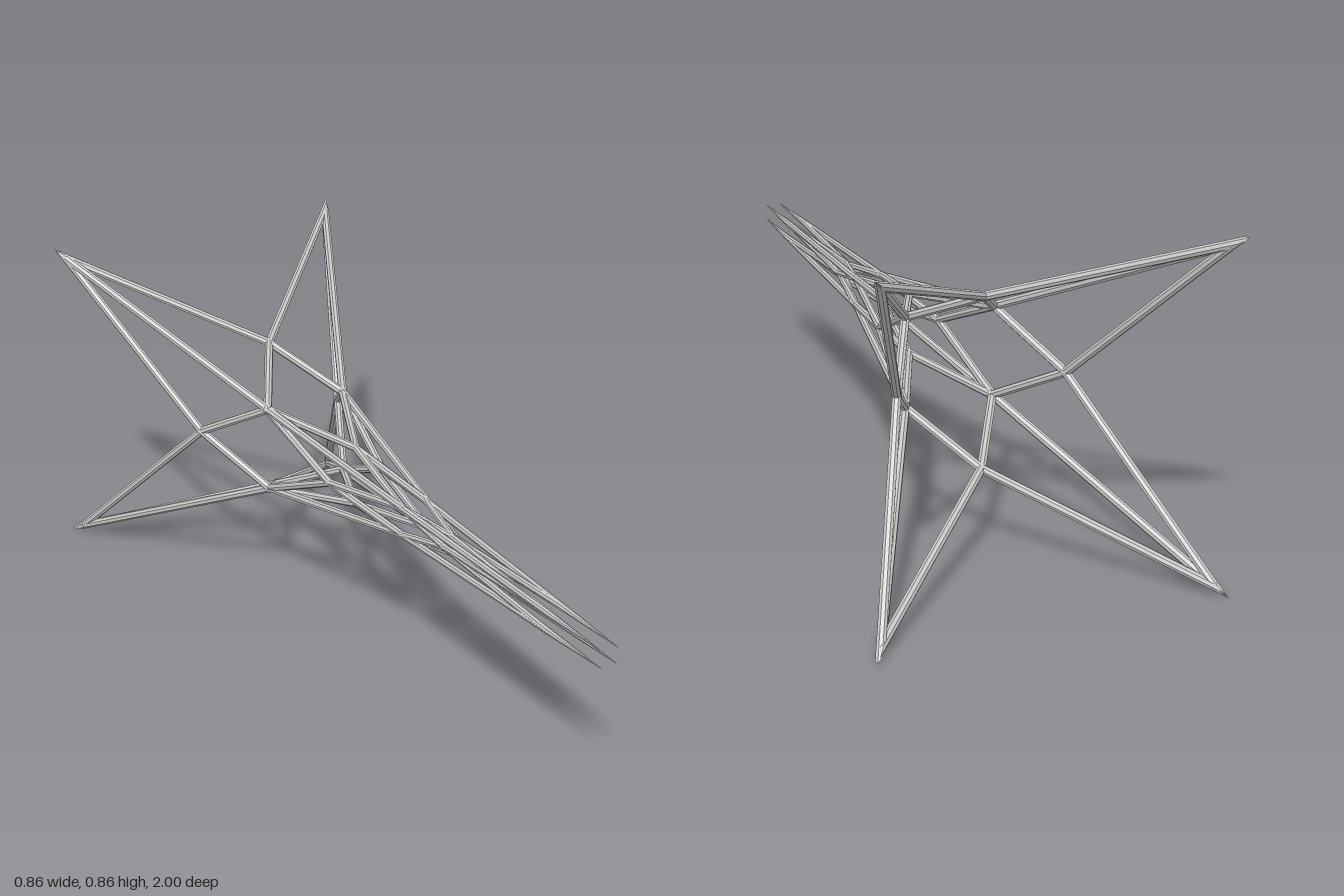
import * as THREE from 'three';

export function createModel() {
  const model = new THREE.Group();
  model.name = 'starLattice';
  const steel = new THREE.MeshStandardMaterial({ color: 0xc8c8c8, flatShading: true });
  steel.name = 'light grey';

  const CENTRE_Y = 0.43, SIDES = 8, R = 0.0115, THIN = 0.0085;
  const UP = new THREE.Vector3(0, 1, 0);

  // Point of a ring: quarter-turn index k, on the diagonals or on the axes
  const node = (radius, z, k, diagonal) => {
    const a = (k + (diagonal ? 0.5 : 0)) * Math.PI / 2;
    return new THREE.Vector3(Math.cos(a) * radius, CENTRE_Y + Math.sin(a) * radius, z);
  };

  // Straight rod; with an apex given, its start is mitred towards that apex
  function rod(name, a, b, ra = R, rb = R, apex = null) {
    const d = b.clone().sub(a);
    const length = d.length();
    d.normalize();
    const geo = new THREE.CylinderGeometry(rb, ra, length, SIDES, 1, true);
    geo.translate(0, length / 2, 0);
    geo.applyQuaternion(new THREE.Quaternion().setFromUnitVectors(UP, d));
    if (apex) {
      const m = a.clone().sub(apex).normalize();
      const n = d.clone().addScaledVector(m, -d.dot(m));
      const pos = geo.attributes.position, v = new THREE.Vector3();
      for (let i = 0; i < pos.count; i++) {
        v.fromBufferAttribute(pos, i);
        if (v.dot(d) > length / 2) continue;
        v.addScaledVector(d, -v.dot(n) / d.dot(n));
        pos.setXYZ(i, v.x, v.y, v.z);
      }
    }
    geo.translate(a.x, a.y, a.z);
    geo.computeVertexNormals();
    const mesh = new THREE.Mesh(geo, steel);
    mesh.name = name;
    model.add(mesh);
  }

  // Faceted knuckle where rods meet
  function joint(name, p, r) {
    const mesh = new THREE.Mesh(new THREE.IcosahedronGeometry(r, 1), steel);
    mesh.name = name;
    mesh.position.copy(p);
    model.add(mesh);
  }

  for (let k = 0; k < 4; k++) {
    // Nodes on this diagonal, from the rear star tip to the front needle tip
    const apex = node(0.608, -1, k, true);
    const tip = node(0.58, -0.97, k, true);
    const shoulder = node(0.163, -0.365, k, true);
    const waist = node(0.052, 0.19, k, true);
    const needle = node(0.032, 0.8, k, true);
    const needleApex = node(0.03, 1, k, true);

    // Rear arm spine and front needle, each with a pointed end
    rod('armSpine', shoulder, tip);
    rod('armPoint', tip, apex, R, 0.0005);
    rod('neckSpine', shoulder, waist, R, 0.0095);
    rod('needleSpine', waist, needle, 0.0095, THIN);
    rod('needlePoint', needle, needleApex, THIN, 0.0005);
    joint('shoulderJoint', shoulder, 0.0135);
    joint('waistJoint', waist, 0.0105);

    // Rods to the axis nodes on both sides of the diagonal
    for (const j of [k, k + 1]) {
      const rim = node(0.215, -0.565, j, false);
      const collar = node(0.08, -0.1, j, false);
      const throat = node(0.023, 0.36, j, false);
      rod('armEdge', tip, rim, R, R, apex);
      rod('rimBrace', rim, shoulder);
      rod('collarBrace', shoulder, collar, R, 0.0105);
      rod('neckBrace', collar, waist, 0.0105, 0.0095);
      rod('throatBrace', waist, throat, 0.0095, THIN);
      rod('needleEdge', throat, needle, THIN, THIN);
    }
    joint('rimJoint', node(0.215, -0.565, k, false), 0.0125);
    joint('collarJoint', node(0.08, -0.1, k, false), 0.0115);
    joint('throatJoint', node(0.023, 0.36, k, false), 0.0095);
  }
  return model;
}
